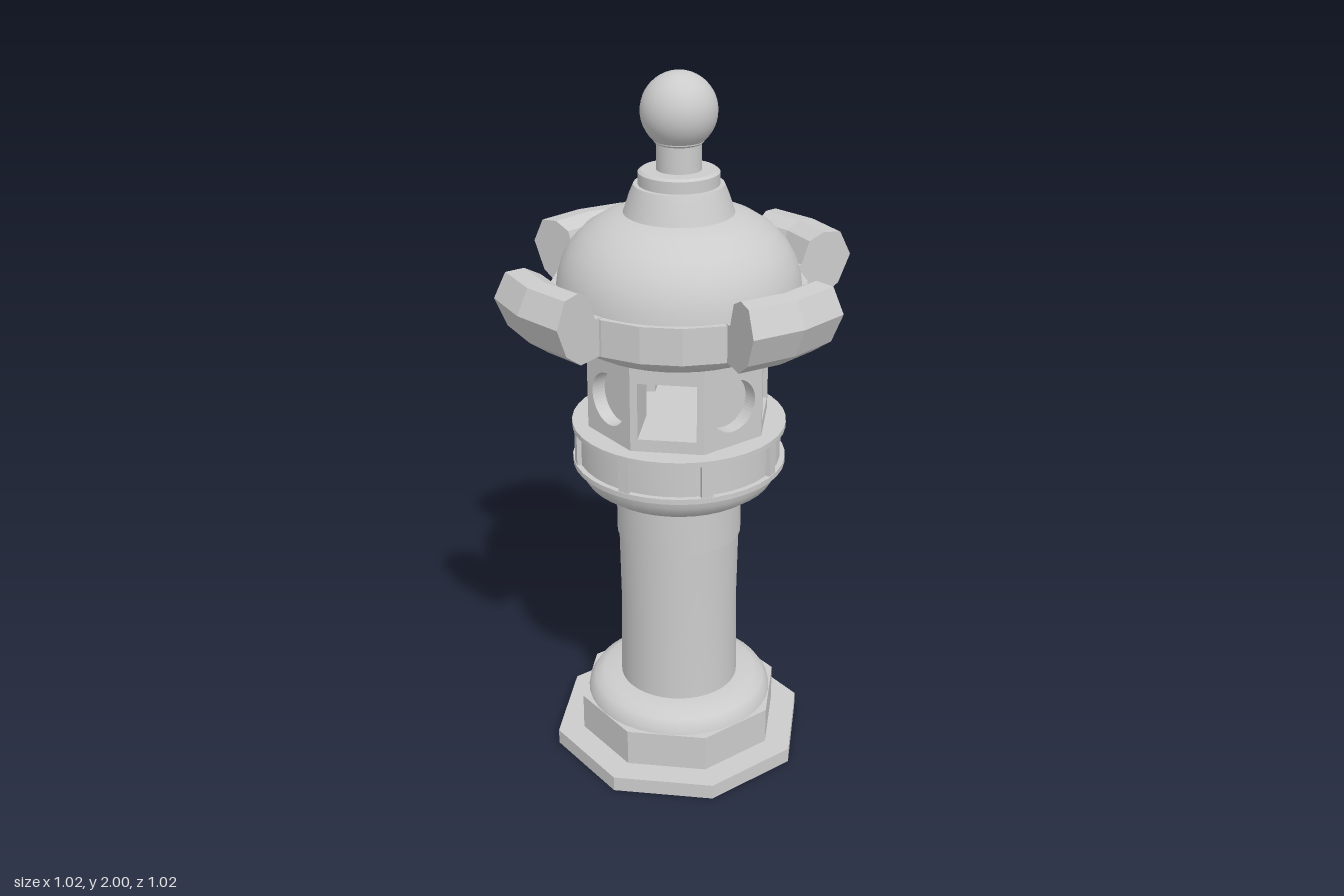
import * as THREE from 'three';
import { toCreasedNormals } from 'three/addons/utils/BufferGeometryUtils.js';

const smooth = new THREE.MeshStandardMaterial({ color: 0xcccccc });
const faceted = new THREE.MeshStandardMaterial({ color: 0xcccccc, flatShading: true, side: THREE.DoubleSide });
const vec = (p) => new THREE.Vector2(p[0], p[1]);

export function createModel() {
  const model = new THREE.Group();

  const add = (name, geo, mat = smooth, parent = model) => {
    const mesh = new THREE.Mesh(geo, mat);
    mesh.name = name;
    parent.add(mesh);
    return mesh;
  };

  // Turned part from [radius, y] points, bottom to top
  const turned = (name, pts, segments = 40) =>
    add(name, toCreasedNormals(new THREE.LatheGeometry(pts.map(vec), segments), 0.6));

  // Octagonal slab with a flat side facing the front
  const octagon = (name, apothem, y0, y1) => {
    const r = apothem / Math.cos(Math.PI / 8);
    const geo = new THREE.CylinderGeometry(r, r, y1 - y0, 8);
    geo.rotateY(Math.PI / 8).translate(0, (y0 + y1) / 2, 0);
    return add(name, geo, faceted);
  };

  // Base
  octagon('baseSlab', 0.345, 0, 0.045);
  octagon('basePlinth', 0.273, 0.045, 0.155);
  turned('baseMoulding', [[0, 0.15], [0.272, 0.15], [0.268, 0.17], [0.252, 0.195], [0.225, 0.208], [0.17, 0.212]]);

  // Column with its collar
  turned('column', [[0.172, 0.2], [0.168, 0.45], [0.172, 0.69]]);
  turned('columnCollar', [[0.165, 0.688], [0.177, 0.692], [0.177, 0.85]]);

  // Platform: rounded bowl, recessed band, rims and posts
  turned('platformBowl', [[0, 0.838], [0.2, 0.838], [0.235, 0.847], [0.264, 0.868], [0.28, 0.895], [0.285, 0.922]]);
  turned('platformBand', [[0.283, 0.92], [0.283, 1.035]]);
  turned('platformLowerRim', [[0.28, 0.917], [0.298, 0.917], [0.298, 0.932], [0.28, 0.932]]);
  turned('platformUpperRim', [[0.28, 1.02], [0.298, 1.025], [0.298, 1.04], [0, 1.04]]);
  for (let i = 0; i < 8; i++) {
    const geo = new THREE.BoxGeometry(0.032, 0.1, 0.03);
    geo.translate(0, 0.977, 0.28).rotateY((i + 0.5) * Math.PI / 4);
    add('platformPost', geo, faceted);
  }

  // Lamp chamber: four pillars leave two crossing square passages
  const low = 1.075, high = 1.235;
  octagon('chamberFloor', 0.238, 1.035, low);
  octagon('chamberCeiling', 0.238, high, 1.29);
  const plan = [[-0.084, 0.238], [-0.084, 0.198], [0.084, 0.198], [0.084, 0.238], [0.0986, 0.238],
    [0.1126, 0.224], [0, 0.1113], [-0.1126, 0.224], [-0.0986, 0.238]];
  // The plan lies in x and z, so its y is negated before the extrusion is stood up
  const pillarGeo = new THREE.ExtrudeGeometry(new THREE.Shape(plan.map(([x, z]) => vec([x, -z]))),
    { depth: high - low, bevelEnabled: false });
  pillarGeo.rotateX(-Math.PI / 2).translate(0, low, 0);
  // Front plate with a round blind window
  const plate = new THREE.Shape([[-0.084, -0.08], [0.084, -0.08], [0.084, 0.08], [-0.084, 0.08]].map(vec));
  plate.holes.push(new THREE.Path().absarc(0, 0, 0.074, 0, Math.PI * 2, true));
  const plateGeo = new THREE.ExtrudeGeometry(plate, { depth: 0.04, bevelEnabled: false, curveSegments: 24 });
  plateGeo.translate(0, (low + high) / 2, 0.198);
  for (let i = 0; i < 4; i++) {
    const side = new THREE.Group();
    side.name = 'chamberSide';
    side.rotation.y = i * Math.PI / 2;
    add('chamberPillar', pillarGeo, faceted, side);
    add('roundWindow', plateGeo, smooth, side);
    model.add(side);
  }

  // Roof: flared underside, faceted rim and dome
  turned('roofUnderside', [[0, 1.275], [0.235, 1.275], [0.275, 1.288], [0.31, 1.308], [0.334, 1.338]]);
  const rim = new THREE.CylinderGeometry(0.346, 0.346, 0.1, 20);
  add('roofRim', rim.translate(0, 1.385, 0), faceted);
  turned('roofDome', [[0.33, 1.43], [0.326, 1.46], [0.313, 1.505], [0.29, 1.545], [0.255, 1.583],
    [0.21, 1.612], [0.17, 1.628], [0.14, 1.634]], 48);

  // Curled horns on the four sides
  const curl = [[0.325, 1.335], [0.42, 1.335], [0.475, 1.375], [0.508, 1.455], [0.475, 1.522],
    [0.425, 1.527], [0.382, 1.505], [0.36, 1.44], [0.325, 1.435]].map(vec);
  const half = 0.293;
  const hornGeo = new THREE.LatheGeometry([...curl, curl[0]], 2, -half, 2 * half);
  for (let i = 0; i < 4; i++) {
    const horn = new THREE.Group();
    horn.name = 'roofHorn';
    horn.rotation.y = i * Math.PI / 2;
    add('hornBody', hornGeo, faceted, horn);
    for (const s of [-1, 1]) {
      const cap = new THREE.ShapeGeometry(new THREE.Shape(curl));
      add('hornEnd', cap.rotateY(s * half - Math.PI / 2), faceted, horn);
    }
    model.add(horn);
  }

  // Finial
  turned('finialBase', [[0.155, 1.615], [0.145, 1.64], [0.132, 1.68], [0.12, 1.708], [0, 1.708]]);
  turned('finialDisc', [[0.108, 1.705], [0.108, 1.74], [0.1, 1.746], [0, 1.746]]);
  turned('finialNeck', [[0.06, 1.74], [0.06, 1.815], [0.066, 1.82], [0.066, 1.83], [0.04, 1.835]], 32);
  add('finialBall', new THREE.SphereGeometry(0.101, 32, 24).translate(0, 1.899, 0));

  return model;
}
